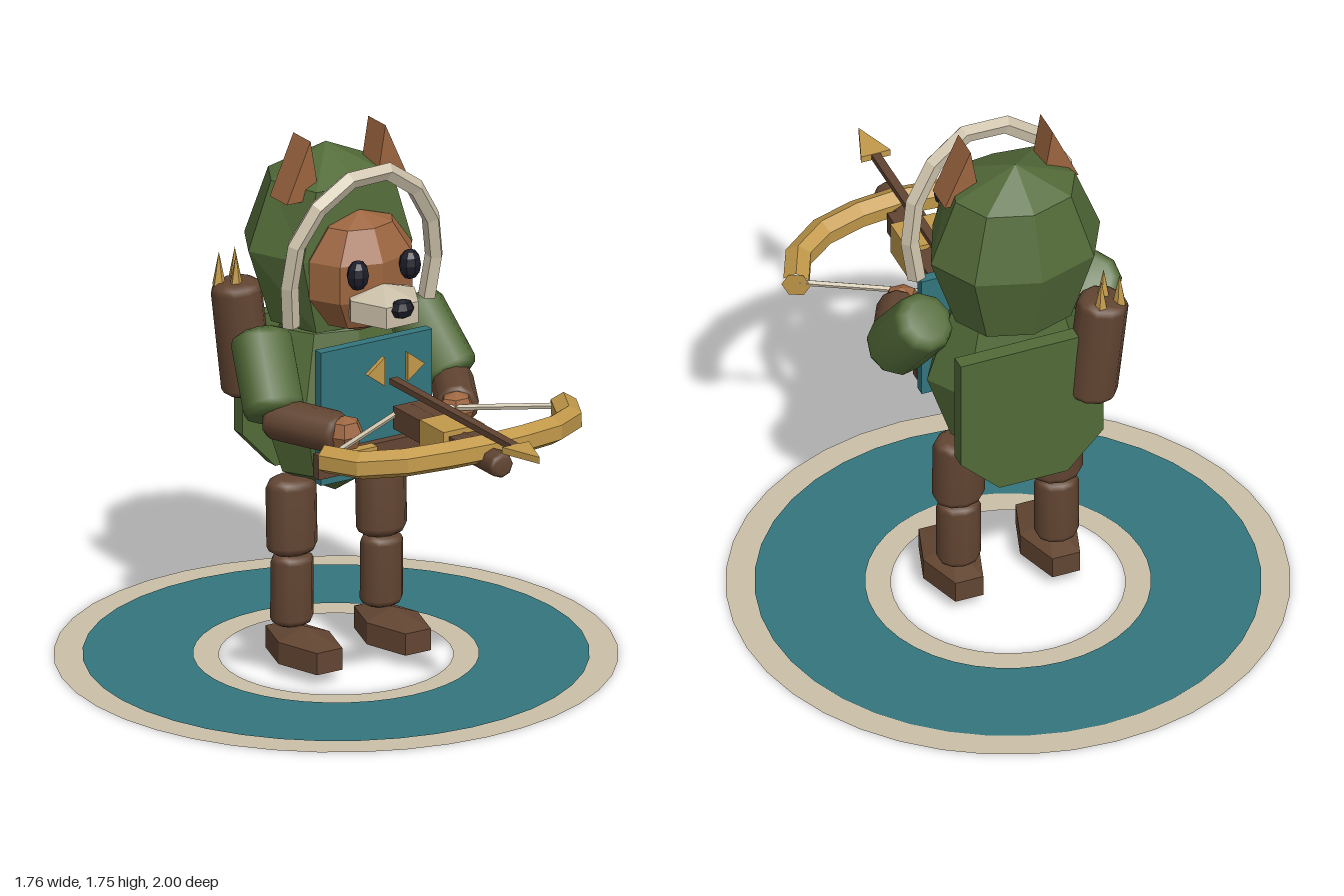
import * as THREE from 'three';

const mat = (name, color) => Object.assign(new THREE.MeshStandardMaterial({ color }), { name });
const green = mat('leaf green', 0x526a38);
const brown = mat('dark brown', 0x624532);
const tan = mat('fox tan', 0x9c653f);
const beige = mat('bone beige', 0xcbc0a9);
const teal = mat('teal', 0x33757e);
const gold = mat('gold', 0xc2994a);
const black = mat('ink', 0x1b1c28);
beige.side = teal.side = THREE.DoubleSide;

const V = (x, y, z) => new THREE.Vector3(x, y, z);

// Faceted normals
function flat(geo) {
  const g = geo.index ? geo.toNonIndexed() : geo;
  g.computeVertexNormals();
  return g;
}

export function createModel() {
  const root = new THREE.Group();
  root.name = 'archer';

  const add = (name, geo, material, x = 0, y = 0, z = 0) => {
    const m = new THREE.Mesh(geo, material);
    m.name = name;
    m.position.set(x, y, z);
    root.add(m);
    return m;
  };
  const box = (name, material, w, h, d, x, y, z) =>
    add(name, new THREE.BoxGeometry(w, h, d), material, x, y, z);
  const ball = (name, material, [x, y, z], [rx, ry, rz], ws = 8, hs = 4) =>
    add(name, flat(new THREE.SphereGeometry(1, ws, hs).scale(rx, ry, rz)), material, x, y, z);

  // Rounded limb from a to b
  const pill = (name, material, a, b, r, depth = 1, sides = 10) => {
    const dir = b.clone().sub(a);
    const h = dir.length(), c = r * 0.35;
    const profile = [[0, 0], [r * 0.65, 0], [r * 0.9, c * 0.4], [r, c],
      [r, h - c], [r * 0.9, h - c * 0.4], [r * 0.65, h], [0, h]].map(p => new THREE.Vector2(...p));
    const m = add(name, new THREE.LatheGeometry(profile, sides).scale(1, 1, depth), material);
    m.position.copy(a);
    m.quaternion.setFromUnitVectors(V(0, 1, 0), dir.normalize());
    return m;
  };

  // Faceted tube with closed ends
  const tube = (name, material, pts, segs, r, sides) => {
    const curve = new THREE.CatmullRomCurve3(pts);
    add(name, flat(new THREE.TubeGeometry(curve, segs, r, sides)), material);
    for (const t of [0, 1]) {
      const cap = add(name + 'End', new THREE.CircleGeometry(r, sides), material);
      const p = curve.getPointAt(t);
      cap.position.copy(p);
      cap.lookAt(p.clone().addScaledVector(curve.getTangentAt(t), t ? 1 : -1));
    }
  };

  // Flat outline given depth, centred on z
  const plate = (name, material, pts, depth, z) => {
    const shape = new THREE.Shape(pts.map(p => new THREE.Vector2(...p)));
    const geo = new THREE.ExtrudeGeometry(shape, { depth, bevelEnabled: false });
    return add(name, geo, material, 0, 0, z - depth / 2);
  };

  // Ground rings
  const ring = (name, material, inner, outer, y) =>
    add(name, new THREE.RingGeometry(inner, outer, 40).rotateX(-Math.PI / 2), material, 0, y, -0.12);
  ring('groundRing', beige, 0.365, 0.88, 0);
  ring('groundBand', teal, 0.445, 0.79, 0.004);

  // Torso, tabard, belt
  ball('torso', green, [0, 0.88, -0.125], [0.275, 0.335, 0.19]);
  box('tabard', teal, 0.41, 0.44, 0.035, 0.008, 0.887, 0.085);
  box('belt', brown, 0.44, 0.08, 0.03, -0.005, 0.74, 0.117);
  box('buckle', gold, 0.095, 0.085, 0.035, -0.075, 0.742, 0.148);

  // Hood: rounded behind, flattened in front
  const hood = new THREE.SphereGeometry(1, 8, 4);
  const hp = hood.attributes.position;
  for (let i = 0; i < hp.count; i++) {
    if (hp.getZ(i) > 0.1) hp.setZ(i, 0.6 + 0.35 * hp.getZ(i));
    if (hp.getY(i) < -0.5 && hp.getY(i) > -0.9) hp.setY(i, -0.8);
  }
  add('hood', flat(hood.scale(0.285, 0.31, 0.22)), green, 0, 1.375, -0.18);
  tube('hoodTrim', beige, [V(0.255, 1.18, 0.01), V(0.27, 1.37, 0.03), V(0.215, 1.52, 0.05), V(0.115, 1.625, 0.065),
    V(0, 1.662, 0.07), V(-0.125, 1.615, 0.065), V(-0.235, 1.5, 0.05), V(-0.265, 1.36, 0.03), V(-0.25, 1.18, 0.01)], 9, 0.03, 5);

  // Face
  ball('face', tan, [0, 1.32, 0.02], [0.198, 0.2, 0.14], 8, 5);
  ball('muzzle', beige, [0, 1.245, 0.15], [0.136, 0.07, 0.155], 6, 3);
  ball('nose', black, [0, 1.267, 0.265], [0.042, 0.033, 0.03], 8, 4);

  for (const s of [-1, 1]) {
    const side = s > 0 ? 'left' : 'right';
    ball(side + 'Eye', black, [s * 0.096, 1.363, 0.158], [0.038, 0.05, 0.032], 8, 6);
    const ear = [[s * 0.225, 1.556], [s * 0.105, 1.556], [s * 0.138, 1.75]];
    plate(side + 'Ear', tan, ear, 0.1, -0.1);

    // Legs
    pill(side + 'Thigh', brown, V(s * 0.165, 0.372, -0.115), V(s * 0.165, 0.622, -0.122), 0.085, 0.8);
    pill(side + 'Shin', brown, V(s * 0.165, 0.137, -0.117), V(s * 0.165, 0.372, -0.115), 0.071, 0.87);
    ball(side + 'Foot', brown, [s * 0.163, 0.076, -0.05], [0.108, 0.072, 0.2], 6, 3);

    // Arms
    pill(side + 'Sleeve', green, V(s * 0.275, 1.12, -0.13), V(s * 0.325, 0.9, 0.04), 0.1);
    pill(side + 'Forearm', brown, V(s * 0.335, 0.9, 0.02), V(s * 0.215, 0.89, 0.25), 0.068);
    ball(side + 'Hand', tan, [s * 0.205, 0.89, 0.255], [0.065, 0.06, 0.056], 6, 4);
  }

  // Crossbow
  const cx = 0.04;
  box('stock', brown, 0.11, 0.075, 0.4, cx, 0.9, 0.435);
  pill('barrel', brown, V(cx, 0.9, 0.25), V(cx, 0.9, 0.79), 0.042, 1, 8);
  box('stockBlock', gold, 0.15, 0.11, 0.14, cx, 0.9, 0.49);
  tube('bow', gold, [V(cx - 0.44, 0.905, 0.445), V(cx - 0.36, 0.912, 0.595), V(cx - 0.22, 0.925, 0.66), V(cx, 0.93, 0.69),
    V(cx + 0.22, 0.925, 0.66), V(cx + 0.36, 0.912, 0.595), V(cx + 0.44, 0.905, 0.445)], 8, 0.046, 6);
  for (const s of [-1, 1]) {
    tube('bowString', beige, [V(cx + s * 0.43, 0.91, 0.45), V(cx + s * 0.03, 0.91, 0.225)], 1, 0.01, 5);
  }

  // Loaded bolt
  box('boltShaft', brown, 0.028, 0.02, 0.72, cx, 0.985, 0.51);
  const head = plate('boltHead', gold, [[-0.05, 0], [0.05, 0], [0, 0.14]], 0.022, 0);
  head.rotation.x = Math.PI / 2;
  head.position.set(cx, 0.996, 0.86);
  for (const s of [-1, 1]) {
    const fin = [[cx + s * 0.043, 0.98], [cx + s * 0.105, 1.027], [cx + s * 0.043, 1.075]];
    plate('boltFin', gold, fin, 0.016, 0.16);
  }

  // Back panel
  plate('backPanel', green, [[-0.22, 1.096], [-0.22, 0.71], [-0.1, 0.583], [0.13, 0.583], [0.26, 0.71], [0.26, 1.096]], 0.05, -0.34);

  // Quiver with bolts
  pill('quiver', brown, V(-0.19, 0.84, -0.335), V(-0.228, 1.215, -0.345), 0.082);
  for (const [dx, dz] of [[-0.035, -0.02], [0.03, -0.03], [0, 0.025]]) {
    add('quiverBolt', flat(new THREE.ConeGeometry(0.022, 0.11, 5)), gold, -0.235 + dx, 1.255, -0.355 + dz);
  }
  return root;
}
